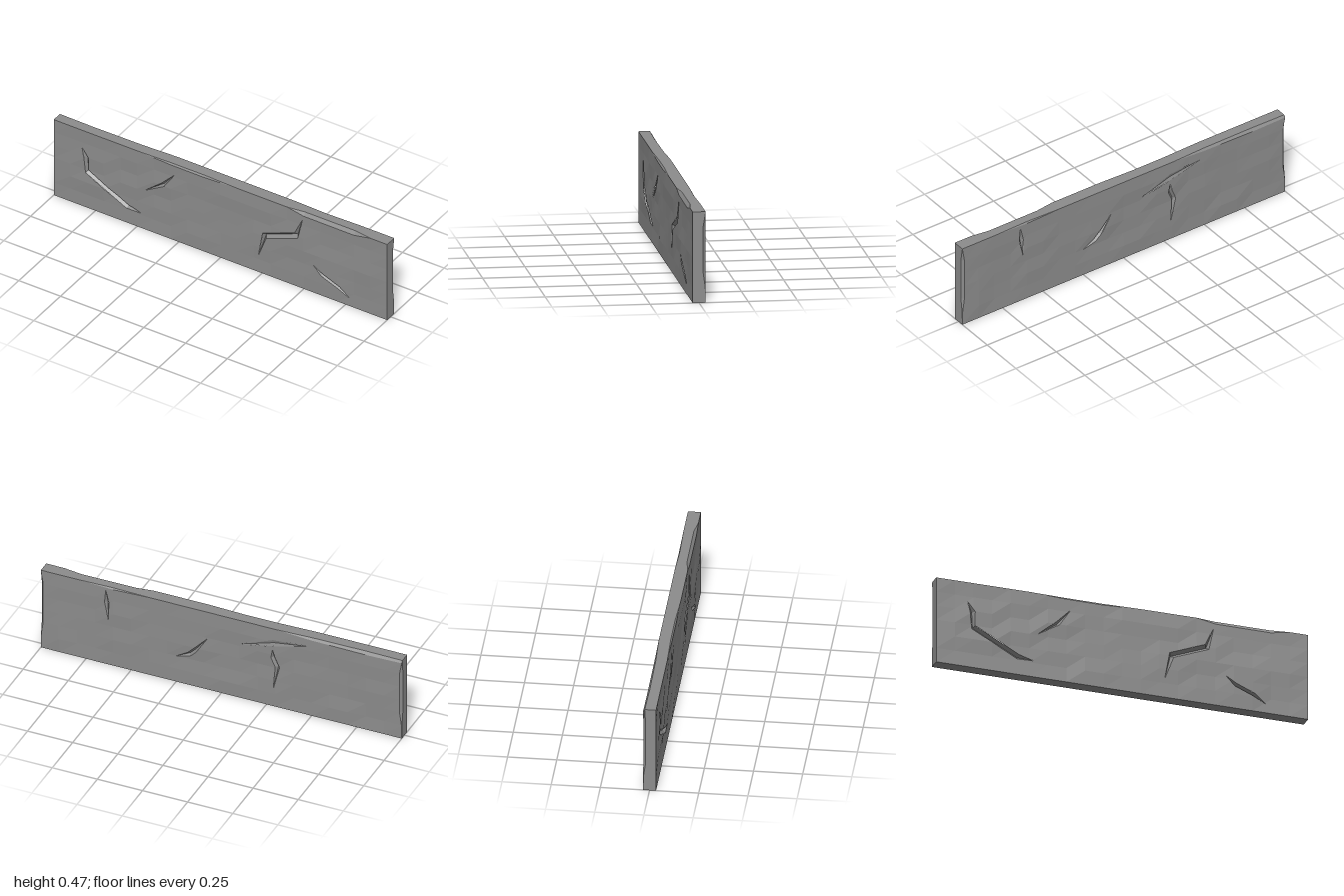
import * as THREE from 'three';

const H = 0.47, T = 0.033, COLS = 20, ROWS = 6;
const stone = new THREE.MeshStandardMaterial({ color: 0x8c8c8c });
stone.name = 'grey stone';

// Piecewise-linear lookup in [position, value] pairs
function lookup(table, t) {
  if (t <= table[0][0]) return table[0][1];
  for (let i = 1; i < table.length; i++) {
    const [a, va] = table[i - 1], [b, vb] = table[i];
    if (t <= b) return va + (vb - va) * (t - a) / (b - a);
  }
  return table[table.length - 1][1];
}

// Flat-shaded mesh from convex polygons
function polyMesh(name, polys) {
  const pos = [];
  for (const p of polys)
    for (let i = 1; i < p.length - 1; i++) pos.push(...p[0], ...p[i], ...p[i + 1]);
  const g = new THREE.BufferGeometry();
  g.setAttribute('position', new THREE.Float32BufferAttribute(pos, 3));
  g.computeVertexNormals();
  const m = new THREE.Mesh(g, stone);
  m.name = name;
  return m;
}

// Cuts a convex polygon along the line a-b into its left and right parts
function split(poly, a, b) {
  const side = p => (b[0] - a[0]) * (p[1] - a[1]) - (b[1] - a[1]) * (p[0] - a[0]);
  const left = [], right = [];
  poly.forEach((p, i) => {
    const q = poly[(i + 1) % poly.length], s = side(p), t = side(q);
    if (s >= 0) left.push(p);
    if (s <= 0) right.push(p);
    if (s * t < 0) {
      const m = p.map((v, k) => v + (q[k] - v) * s / (s - t));
      left.push(m);
      right.push(m);
    }
  });
  return [left, right];
}

// Removes a convex outline from a convex polygon
function subtract(poly, hole) {
  const out = [];
  let rest = poly;
  for (let i = 0; i < hole.length; i++) {
    const a = hole[i], b = hole[(i + 1) % hole.length];
    if (Math.hypot(a[0] - b[0], a[1] - b[1]) < 1e-6) continue;
    const [inside, outside] = split(rest, a, b);
    if (inside.length < 3) return [poly];
    if (outside.length > 2) out.push(outside);
    rest = inside;
  }
  return out;
}

// Tapered left, right and bottom points along a crack
function crackRails({ path, w = 0.014, depth = 0.016 }, zAt) {
  const n = path.length - 1;
  return path.map((p, i) => {
    const a = path[Math.max(i - 1, 0)], b = path[Math.min(i + 1, n)];
    const dx = b[0] - a[0], dy = b[1] - a[1], len = Math.hypot(dx, dy);
    const end = i === 0 || i === n, h = end ? 0.001 : w;
    const at = s => {
      const x = p[0] - dy / len * h * s, y = p[1] + dx / len * h * s;
      return [x, y, zAt(x, y)];
    };
    return { L: at(1), R: at(-1), B: [p[0], p[1], zAt(p[0], p[1]) - (end ? 0.001 : depth)] };
  });
}

// One broad side: uneven hewn surface, cracks and chipped edges
function buildSide(name, spec) {
  const noise = (i, j) => {
    if (i <= 0 || j <= 0 || i >= COLS || j >= ROWS) return 0;
    const s = Math.sin((i >> 1) * 12.99 + j * 78.23 + spec.seed) * 43758.55;
    return (s - Math.floor(s) - 0.45) * 0.006;
  };
  const zAt = (x, y) => {
    const u = (x + 1) / 2 * COLS, v = y / H * ROWS;
    const i = Math.floor(u), j = Math.floor(v), f = u - i, g = v - j;
    return T + (noise(i, j) * (1 - f) + noise(i + 1, j) * f) * (1 - g)
      + (noise(i, j + 1) * (1 - f) + noise(i + 1, j + 1) * f) * g;
  };
  const gx = i => -1 + 2 * i / COLS, gy = j => H * j / ROWS;
  const chip = y => lookup(spec.endChip, y);
  const point = (i, j) => [
    gx(i) + (i === 0 ? chip(gy(j)) : i === COLS ? -chip(gy(j)) : 0),
    gy(j) - (j === ROWS ? lookup(spec.topChip, gx(i)) : 0),
    T + noise(i, j)];

  // Hewn surface
  let polys = [];
  for (let i = 0; i < COLS; i++)
    for (let j = 0; j < ROWS; j++) {
      const a = point(i, j), b = point(i + 1, j), c = point(i + 1, j + 1), d = point(i, j + 1);
      polys.push([a, b, c], [a, c, d]);
    }
  // Cracks as V-shaped grooves
  const grooves = [];
  for (const crack of spec.cracks) {
    const rails = crackRails(crack, zAt);
    for (let k = 1; k < rails.length; k++) {
      const p = rails[k - 1], q = rails[k];
      polys = polys.flatMap(poly => subtract(poly, [p.R, q.R, q.L, p.L]));
      grooves.push([p.R, q.R, q.B, p.B], [p.B, q.B, q.L, p.L]);
    }
  }
  // Bevels where the top and end edges are chipped
  const topRim = [], endRims = [[], []], bevels = [];
  for (let i = 0; i <= COLS; i++) topRim.push([gx(i), H, T - 0.7 * lookup(spec.topChip, gx(i))]);
  for (let i = 0; i < COLS; i++)
    bevels.push([point(i, ROWS), point(i + 1, ROWS), topRim[i + 1], topRim[i]]);
  [0, COLS].forEach((i, e) => {
    for (let j = 0; j <= ROWS; j++)
      endRims[e].push(j === ROWS ? topRim[i] : [gx(i), gy(j), T - chip(gy(j))]);
    for (let j = 0; j < ROWS; j++) {
      const quad = [point(i, j), endRims[e][j], endRims[e][j + 1], point(i, j + 1)];
      bevels.push(e ? quad : quad.reverse());
    }
  });

  const group = new THREE.Group();
  group.name = name;
  group.add(polyMesh('hewnSurface', polys), polyMesh('cracks', grooves), polyMesh('chippedEdges', bevels));
  return { group, topRim, endRims };
}

export function createModel() {
  const model = new THREE.Group();
  model.name = 'stoneSlab';

  const front = buildSide('frontSide', {
    seed: 1.7,
    topChip: [[-0.5, 0], [-0.3, 0.009], [-0.1, 0.01], [0.1, 0], [0.4, 0], [0.5, 0.019], [0.8, 0.02], [0.9, 0]],
    endChip: [[0, 0]],
    cracks: [
      { path: [[-0.83, 0.36], [-0.805, 0.31], [-0.8, 0.225], [-0.56, 0.1], [-0.48, 0.09]] },
      { path: [[-0.28, 0.4], [-0.345, 0.32], [-0.45, 0.245]], w: 0.011 },
      { path: [[0.49, 0.42], [0.455, 0.315], [0.265, 0.24], [0.23, 0.11]], w: 0.016, depth: 0.02 },
      { path: [[0.56, 0.17], [0.61, 0.13], [0.71, 0.09], [0.77, 0.05]], w: 0.009 },
    ],
  });

  // The back is built facing forward, then turned around
  const back = buildSide('backSide', {
    seed: 5.3,
    topChip: [[-0.8, 0], [-0.6, 0.008], [-0.4, 0], [0.3, 0], [0.5, 0.012], [0.8, 0.016], [1, 0.012]],
    endChip: [[0, 0], [0.078, 0.002], [0.157, 0.013], [0.392, 0.013], [0.47, 0]],
    cracks: [
      { path: [[-0.64, 0.445], [-0.635, 0.375], [-0.625, 0.275]], w: 0.012 },
      { path: [[-0.08, 0.305], [-0.15, 0.215], [-0.18, 0.185], [-0.25, 0.155]], w: 0.012 },
      { path: [[0.285, 0.34], [0.287, 0.295], [0.31, 0.24], [0.29, 0.115]], w: 0.012 },
      { path: [[0.115, 0.33], [0.29, 0.385], [0.47, 0.415]], w: 0.018, depth: 0.006 },
    ],
  });
  back.group.rotation.y = Math.PI;
  model.add(front.group, back.group);

  // Top, ends and underside join the two sides
  const turn = p => [-p[0], p[1], -p[2]];
  const backTop = back.topRim.map(turn).reverse();
  const backEnds = [back.endRims[1].map(turn), back.endRims[0].map(turn)];
  const top = [];
  for (let i = 0; i < COLS; i++)
    top.push([front.topRim[i], front.topRim[i + 1], backTop[i + 1], backTop[i]]);
  model.add(polyMesh('topFace', top));
  ['rightEnd', 'leftEnd'].forEach((name, e) => {
    const quads = [], f = front.endRims[e], b = backEnds[e];
    for (let j = 0; j < ROWS; j++) {
      const quad = [f[j], b[j], b[j + 1], f[j + 1]];
      quads.push(e ? quad : quad.reverse());
    }
    model.add(polyMesh(name, quads));
  });
  model.add(polyMesh('underside', [[[-1, 0, -T], [1, 0, -T], [1, 0, T], [-1, 0, T]]]));
  return model;
}
